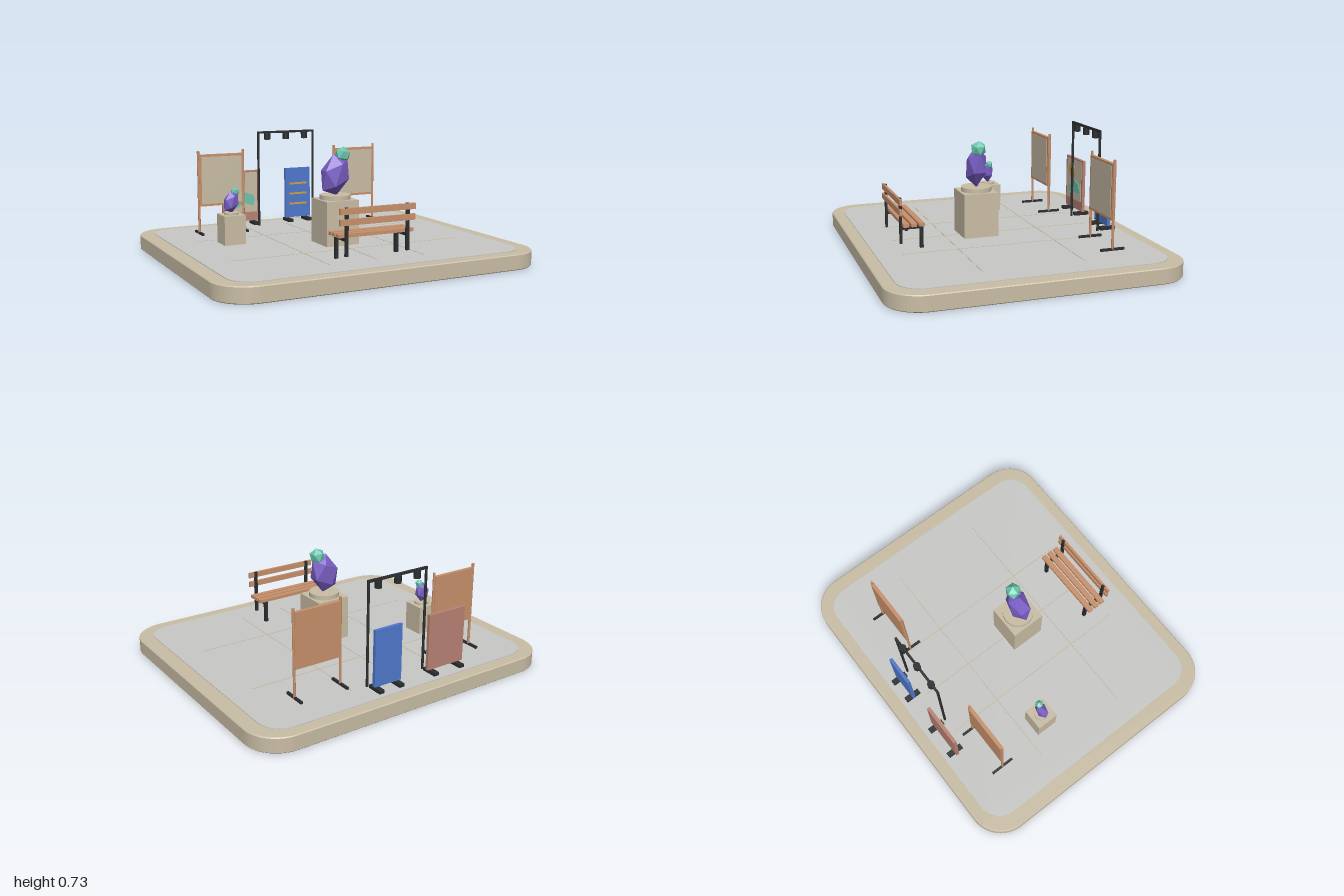
import * as THREE from 'three';

const mat = (name, color, extra = {}) => Object.assign(new THREE.MeshStandardMaterial({ color, ...extra }), { name });

export function createModel() {
  const stone = mat('stone', 0xc9bda5);
  const paving = mat('paving', 0xc8c8c6);
  const wood = mat('wood', 0xc8916c);
  const rose = mat('rose', 0xb98274);
  const blue = mat('blue', 0x4f78cc);
  const iron = mat('iron', 0x2b2d30);
  const purple = mat('purple', 0x7a5fc6, { flatShading: true });
  const teal = mat('teal', 0x6cc6ae, { flatShading: true });
  const gold = mat('gold', 0xd0a040);

  const model = new THREE.Group();
  model.name = 'sculpturePlaza';

  const group = (name, x = 0, y = 0, z = 0) => {
    const g = new THREE.Group();
    g.name = name;
    g.position.set(x, y, z);
    model.add(g);
    return g;
  };
  const add = (parent, name, geometry, material, x = 0, y = 0, z = 0) => {
    const m = new THREE.Mesh(geometry, material);
    m.name = name;
    m.position.set(x, y, z);
    parent.add(m);
    return m;
  };
  const box = (parent, name, material, w, h, d, x, y, z) =>
    add(parent, name, new THREE.BoxGeometry(w, h, d), material, x, y, z);
  const cyl = (parent, name, material, r, h, x, y, z, sides = 24) =>
    add(parent, name, new THREE.CylinderGeometry(r, r, h, sides), material, x, y, z);

  // Rounded slab lying flat, from y0 upward
  const slab = (parent, name, material, hx, hz, r, y0, h, bevel) => {
    const a = hx - bevel, b = hz - bevel, s = new THREE.Shape();
    s.moveTo(-a + r, -b);
    s.lineTo(a - r, -b).absarc(a - r, -b + r, r, -Math.PI / 2, 0);
    s.lineTo(a, b - r).absarc(a - r, b - r, r, 0, Math.PI / 2);
    s.lineTo(-a + r, b).absarc(-a + r, b - r, r, Math.PI / 2, Math.PI);
    s.lineTo(-a, -b + r).absarc(-a + r, -b + r, r, Math.PI, Math.PI * 1.5);
    const g = new THREE.ExtrudeGeometry(s, {
      depth: h - 2 * bevel, curveSegments: 8, bevelEnabled: bevel > 0,
      bevelSize: bevel, bevelThickness: bevel, bevelSegments: 1,
    });
    g.rotateX(-Math.PI / 2);
    return add(parent, name, g, material, 0, y0 + bevel, 0);
  };

  // Plaza base, paving and joints
  const plaza = group('plaza');
  slab(plaza, 'base', stone, 1, 0.86, 0.2, 0, 0.093, 0.005);
  slab(plaza, 'pavedFloor', paving, 0.91, 0.785, 0.14, 0.09, 0.007, 0);
  for (const z of [-0.3, 0.3]) box(plaza, 'pavingJoint', stone, 1.5, 0.003, 0.006, 0, 0.097, z);
  for (const x of [-0.3, 0, 0.3]) box(plaza, 'pavingJoint', stone, 0.006, 0.003, 1.26, x, 0.097, 0);

  // Crystal sculptures on pedestals
  const sculpture = (name, x, z, width, boxTop, capR, capTop, s) => {
    const g = group(name, x, 0, z);
    box(g, 'pedestal', stone, width, boxTop - 0.095, width, 0, (boxTop + 0.095) / 2, 0);
    cyl(g, 'plinth', stone, capR, capTop - boxTop, 0, (capTop + boxTop) / 2, 0, 32);
    const big = add(g, 'largeCrystal', new THREE.IcosahedronGeometry(1, 0), purple, 0, capTop + 0.12 * s, 0);
    big.scale.set(0.096 * s, 0.135 * s, 0.067 * s);
    big.rotation.z = -0.33;
    const small = add(g, 'smallCrystal', new THREE.IcosahedronGeometry(0.05 * s, 0), teal,
      0.05 * s, capTop + 0.239 * s, 0);
    small.rotation.z = 0.4;
  };
  sculpture('mainSculpture', 0, 0.097, 0.216, 0.368, 0.094, 0.395, 1);
  sculpture('smallSculpture', -0.57, -0.17, 0.135, 0.275, 0.044, 0.288, 0.52);

  // Bench with its back towards the front edge
  const bench = group('bench');
  for (const z of [0.502, 0.548, 0.594]) box(bench, 'seatSlat', wood, 0.48, 0.02, 0.033, 0, 0.245, z);
  for (const y of [0.384, 0.323]) box(bench, 'backSlat', wood, 0.48, 0.035, 0.015, 0, y, 0.625);
  for (const x of [-0.195, 0.195]) {
    box(bench, 'frontLeg', iron, 0.02, 0.138, 0.02, x, 0.164, 0.495);
    box(bench, 'backPost', iron, 0.02, 0.272, 0.014, x, 0.267, 0.618);
    box(bench, 'seatBearer', iron, 0.02, 0.02, 0.14, x, 0.225, 0.555);
  }

  // Framed display screens on posts
  for (const x of [-0.502, 0.463]) {
    const g = group('displayScreen', x, 0, -0.532);
    box(g, 'board', wood, 0.3, 0.332, 0.022, 0, 0.441, 0);
    box(g, 'boardFace', stone, 0.27, 0.302, 0.004, 0, 0.441, 0.012);
    for (const side of [-1, 1]) {
      cyl(g, 'post', wood, 0.008, 0.53, side * 0.151, 0.365, 0, 10);
      box(g, 'foot', iron, 0.014, 0.014, 0.15, side * 0.151, 0.104, 0);
    }
  }

  // Gantry with three hanging lamps
  const gantry = group('lampGantry', 0, 0, -0.635);
  for (const x of [-0.2, 0.2]) cyl(gantry, 'post', iron, 0.008, 0.63, x, 0.41, 0, 10);
  box(gantry, 'crossbar', iron, 0.412, 0.014, 0.014, 0, 0.725, 0);
  for (const x of [-0.135, 0, 0.135]) cyl(gantry, 'lamp', iron, 0.021, 0.044, x, 0.698, 0, 12);

  // Standing poster panels
  const panel = (name, material, x, w, footX) => {
    const g = group(name, x, 0, -0.706);
    box(g, 'panel', material, w, 0.342, 0.02, 0, 0.296, 0);
    for (const s of [-1, 1]) box(g, 'foot', iron, 0.034, 0.02, 0.1, s * footX, 0.108, 0);
    return g;
  };
  const art = panel('artPanel', rose, -0.303, 0.262, 0.096);
  box(art, 'paper', stone, 0.226, 0.27, 0.004, 0, 0.32, 0.011);
  cyl(art, 'goldDisc', gold, 0.046, 0.004, -0.03, 0.377, 0.014).rotation.x = Math.PI / 2;
  const cutout = new THREE.Shape([
    [-0.075, 0.245], [-0.03, 0.215], [0.018, 0.25], [0.082, 0.228], [0.095, 0.27],
    [0.082, 0.3], [0.02, 0.322], [0.01, 0.283], [-0.045, 0.293],
  ].map(([px, py]) => new THREE.Vector2(px, py)));
  add(art, 'tealCutout', new THREE.ExtrudeGeometry(cutout, { depth: 0.004, bevelEnabled: false }), teal, 0, 0, 0.013);

  const notice = panel('noticePanel', blue, 0.115, 0.185, 0.07);
  for (const [y, w] of [[0.36, 0.13], [0.29, 0.13], [0.22, 0.13]])
    box(notice, 'stripe', gold, w, 0.013, 0.004, 0, y, 0.011);

  return model;
}
